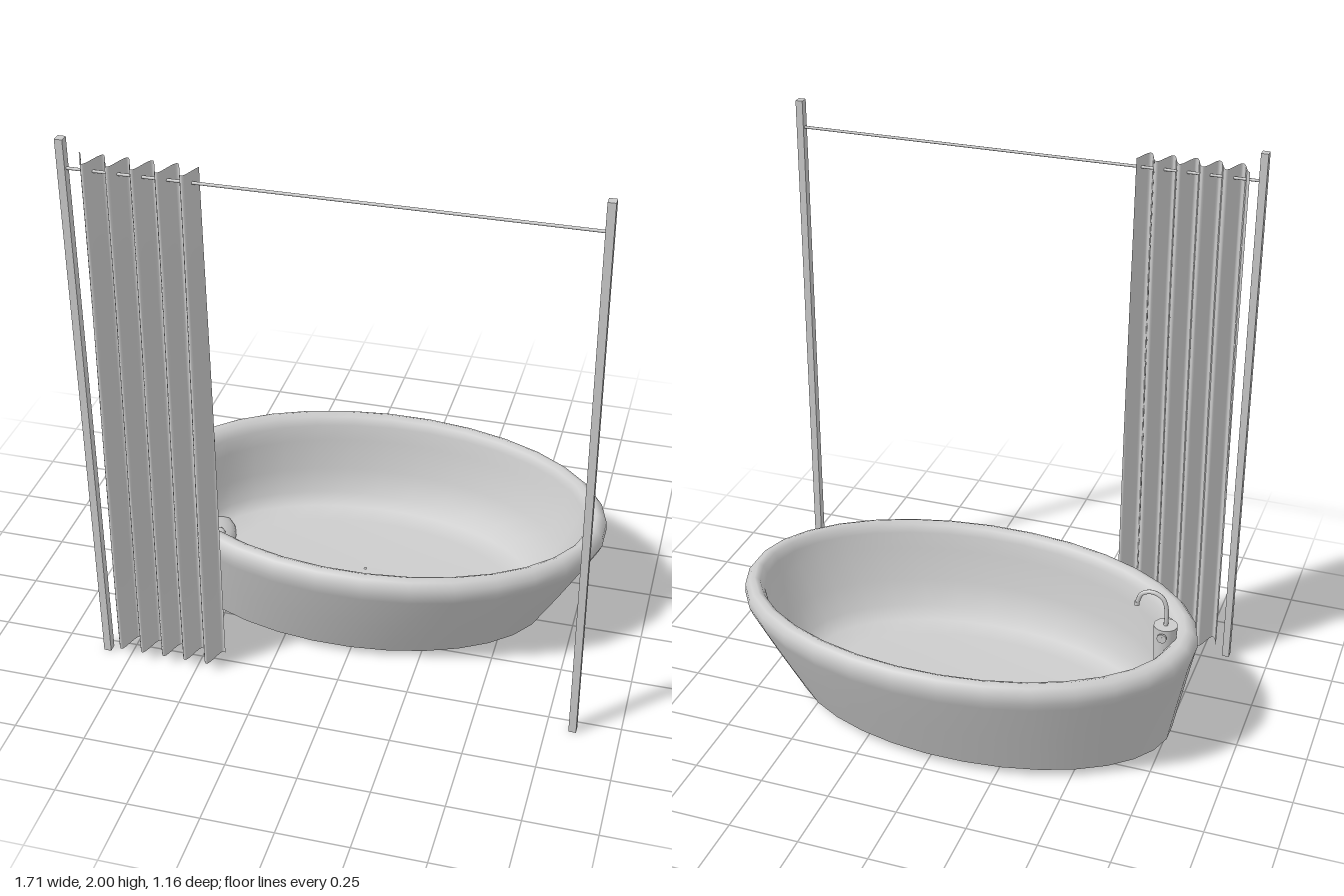
import * as THREE from 'three';

const material = new THREE.MeshStandardMaterial({ color: 0xcccccc });
const thin = new THREE.MeshStandardMaterial({ color: 0xcccccc, side: THREE.DoubleSide });

function add(parent, name, geometry, x = 0, y = 0, z = 0, mat = material) {
  const mesh = new THREE.Mesh(geometry, mat);
  mesh.name = name;
  mesh.position.set(x, y, z);
  parent.add(mesh);
  return mesh;
}

// Skin stacked ellipses, each given as [y, xMin, xMax, half depth]
function loft(rings, sides) {
  const positions = [], index = [];
  for (const [y, x0, x1, rz] of rings) {
    for (let i = 0; i < sides; i++) {
      const a = ((i + 0.5) / sides) * Math.PI * 2;
      positions.push((x0 + x1) / 2 + (Math.cos(a) * (x1 - x0)) / 2, y, Math.sin(a) * rz);
    }
  }
  for (let r = 0; r < rings.length - 1; r++) {
    for (let i = 0; i < sides; i++) {
      const j = (i + 1) % sides;
      const a = r * sides + i, b = r * sides + j, c = a + sides, d = b + sides;
      index.push(a, c, b, b, c, d);
    }
  }
  const g = new THREE.BufferGeometry();
  g.setAttribute('position', new THREE.Float32BufferAttribute(positions, 3));
  g.setIndex(index);
  g.computeVertexNormals();
  return g;
}

export function createModel() {
  const model = new THREE.Group();
  const tubZ = -0.05;

  // Tub: sloping outer wall, rolled rim and basin, open underneath
  add(model, 'tub', loft([
    [0.03, -0.77, 0.64, 0.405],
    [0.19, -0.80, 0.735, 0.465],
    [0.35, -0.832, 0.825, 0.522],
    [0.38, -0.84, 0.838, 0.53],
    [0.41, -0.838, 0.836, 0.528],
    [0.432, -0.82, 0.82, 0.512],
    [0.44, -0.795, 0.80, 0.493],
    [0.43, -0.765, 0.78, 0.475],
    [0.40, -0.74, 0.765, 0.462],
    [0.34, -0.73, 0.75, 0.45],
    [0.22, -0.72, 0.69, 0.425],
    [0.13, -0.705, 0.635, 0.39],
    [0.09, -0.67, 0.585, 0.35],
    [0.073, -0.58, 0.49, 0.28],
    [0.07, -0.05, -0.04, 0.005],
  ], 32), 0, 0, tubZ, thin);

  // Drain dome with its plug
  const drain = new THREE.Group();
  drain.name = 'drain';
  drain.position.set(-0.66, 0.08, tubZ);
  model.add(drain);
  add(drain, 'drainDome', new THREE.SphereGeometry(1, 16, 10).scale(0.095, 0.05, 0.16));
  add(drain, 'drainPlug', new THREE.SphereGeometry(1, 14, 8).scale(0.03, 0.015, 0.03), 0.035, 0.048);

  // Faucet: tapered body, two side handles and a hooked spout
  const faucet = new THREE.Group();
  faucet.name = 'faucet';
  faucet.position.set(-0.73, 0, tubZ);
  model.add(faucet);
  add(faucet, 'faucetBody', new THREE.CylinderGeometry(0.042, 0.03, 0.28, 16), 0, 0.34, 0);
  for (const s of [-1, 1]) {
    const stem = add(faucet, 'handleStem', new THREE.CylinderGeometry(0.007, 0.007, 0.025, 8), 0, 0.457, s * 0.045);
    stem.rotation.x = Math.PI / 2;
    const knob = add(faucet, 'handleKnob', new THREE.CylinderGeometry(0.017, 0.017, 0.008, 12), 0, 0.457, s * 0.053);
    knob.rotation.x = Math.PI / 2;
  }
  const spoutPath = new THREE.CatmullRomCurve3([
    [0, 0.47], [0, 0.54], [0.014, 0.583], [0.052, 0.602], [0.09, 0.588], [0.105, 0.55],
  ].map(([x, y]) => new THREE.Vector3(x, y, 0)));
  add(faucet, 'spout', new THREE.TubeGeometry(spoutPath, 24, 0.008, 8));
  add(faucet, 'spoutTip', new THREE.CylinderGeometry(0.009, 0.009, 0.015, 8), 0.105, 0.547, 0);

  // Square posts and the rod between them
  for (const s of [-1, 1]) {
    add(model, 'post', new THREE.BoxGeometry(0.026, 2, 0.03), s * 0.84, 1, 0.54);
  }
  const rod = add(model, 'curtainRod', new THREE.CylinderGeometry(0.005, 0.005, 1.67, 10), 0, 1.9, 0.54);
  rod.rotation.z = Math.PI / 2;

  // Curtain: a pleated sheet whose folds drift slightly toward the hem
  const curtain = new THREE.PlaneGeometry(0.39, 1.9, 80, 20);
  const p = curtain.attributes.position;
  for (let i = 0; i < p.count; i++) {
    const u = p.getX(i) / 0.39 + 0.5, v = 0.5 - p.getY(i) / 1.9;
    const drift = 0.2 * v * v * (3 - 2 * v);
    p.setZ(i, -0.039 * Math.cos((u * 4.9 + drift) * Math.PI * 2));
  }
  curtain.computeVertexNormals();
  add(model, 'curtain', curtain, -0.605, 0.99, 0.54, thin);

  return model;
}
